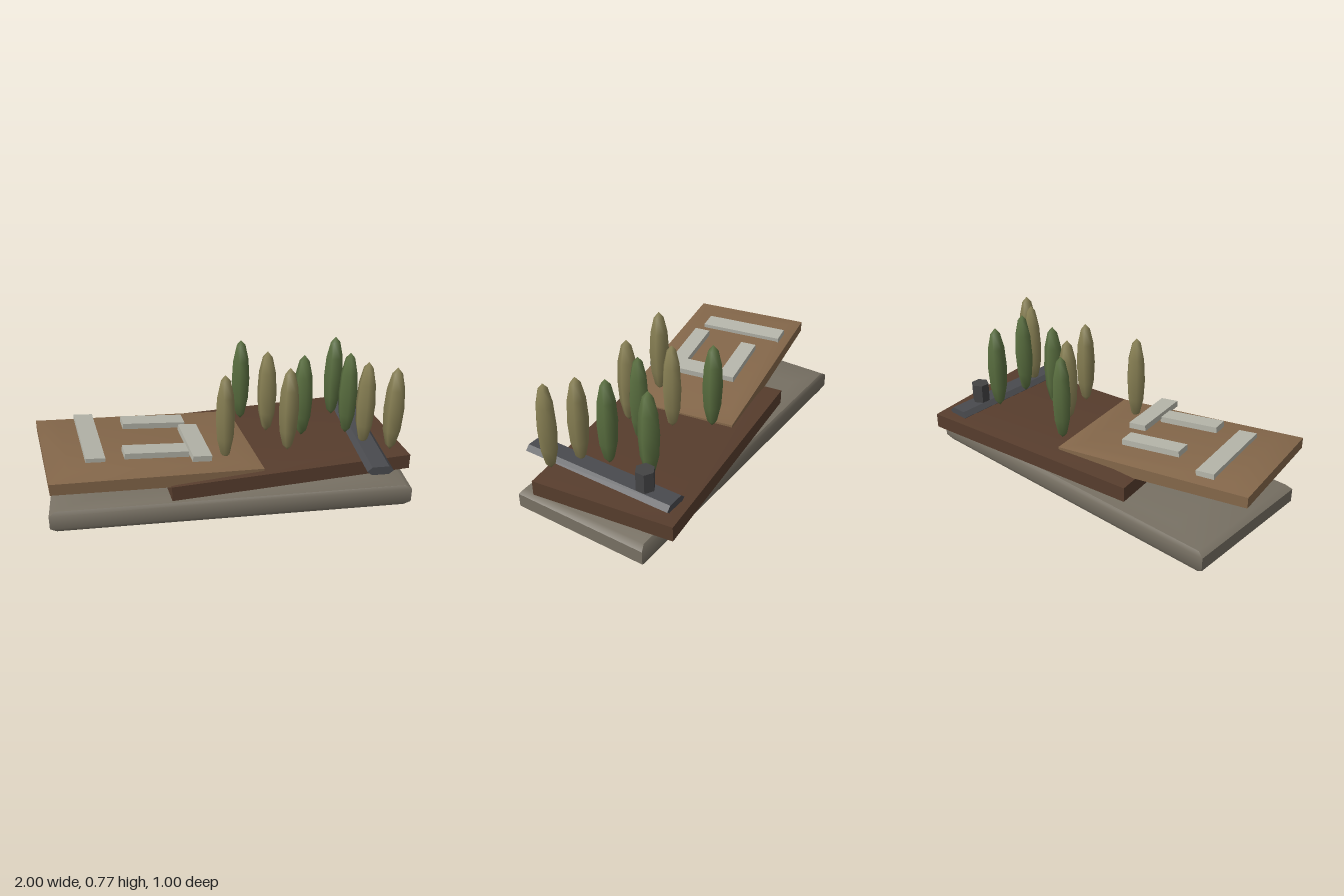
import * as THREE from 'three';
import { toCreasedNormals } from 'three/addons/utils/BufferGeometryUtils.js';

const colour = (name, color) => Object.assign(new THREE.MeshStandardMaterial({ color }), { name });

export function createModel() {
  const model = new THREE.Group();
  model.name = 'terrainSlabs';
  const stone = colour('stone', 0x777063);
  const darkEarth = colour('dark earth', 0x573d2d);
  const lightEarth = colour('light earth', 0x84674a);
  const wall = colour('pale wall', 0xb4b4a9);
  const iron = colour('iron', 0x494a4e);
  const soot = colour('soot', 0x434344);
  const green = colour('green leaves', 0x5a6f40);
  const olive = colour('olive leaves', 0x888054);

  function add(name, geometry, material, x = 0, y = 0, z = 0) {
    const mesh = new THREE.Mesh(geometry, material);
    mesh.name = name;
    mesh.position.set(x, y, z);
    model.add(mesh);
    return mesh;
  }

  // Four-cornered slab lofted through rings of [scale, height, slope along x], bottom to top
  function slab(corners, rings) {
    const cx = corners.reduce((s, c) => s + c[0], 0) / 4;
    const cz = corners.reduce((s, c) => s + c[1], 0) / 4;
    const pos = [], index = [];
    for (const [scale, height, slope = 0] of rings) {
      for (const [px, pz] of corners) {
        const x = cx + (px - cx) * scale, z = cz + (pz - cz) * scale;
        pos.push(x, height + slope * x, z);
      }
    }
    for (let r = 0; r < rings.length - 1; r++) {
      for (let i = 0; i < 4; i++) {
        const a = r * 4 + i, b = r * 4 + (i + 1) % 4;
        index.push(a, b, b + 4, a, b + 4, a + 4);
      }
    }
    const t = (rings.length - 1) * 4;
    index.push(0, 2, 1, 0, 3, 2, t, t + 1, t + 2, t, t + 2, t + 3);
    const geometry = new THREE.BufferGeometry();
    geometry.setAttribute('position', new THREE.Float32BufferAttribute(pos, 3));
    geometry.setIndex(index);
    return toCreasedNormals(geometry, 0.6);
  }

  // Stacked ground slabs; corners run back left, front left, front right, back right
  add('stoneBase', slab(
    [[-0.92, -0.385], [-0.93, 0.395], [0.985, 0.38], [0.985, -0.385]],
    [[0.75, 0.005], [0.965, 0.02], [1, 0.045], [1, 0.12], [0.965, 0.14], [0.75, 0.155]]), stone);
  add('darkSlab', slab(
    [[-0.4, -0.35], [-0.3, 0.42], [1, 0.26], [0.9, -0.5]],
    [[0.8, 0.165], [1, 0.18], [1, 0.262], [0.8, 0.276]]), darkEarth);
  add('tiltedSlab', slab(
    [[-1, -0.16], [-0.9, 0.5], [0.19, 0.33], [0.09, -0.32]],
    [[0.88, 0.202, -0.12], [1, 0.225, -0.1], [1, 0.297, -0.088], [0.8, 0.307, -0.109]]), lightEarth);

  // Low ruined walls: [length x, length z, centre x, y, z]
  const walls = [
    [0.1, 0.48, -0.71, 0.391, 0.085],
    [0.34, 0.09, -0.367, 0.38, 0.245],
    [0.34, 0.09, -0.367, 0.38, -0.075],
    [0.1, 0.345, -0.16, 0.377, 0.175],
  ];
  for (const [w, d, x, y, z] of walls) {
    const mesh = add('ruinedWall', new THREE.BoxGeometry(w, 0.032, d), wall, x, y, z);
    mesh.rotation.set(0, 0.145, -0.115, 'ZYX');
  }

  // Flat iron beam with chamfered long edges
  const profile = new THREE.Shape([
    [-0.07, 0.283], [-0.045, 0.262], [0.045, 0.262], [0.07, 0.283], [0.045, 0.308], [-0.045, 0.308],
  ].map(([x, y]) => new THREE.Vector2(x, y)));
  add('beam', new THREE.ExtrudeGeometry(profile, { depth: 0.87, bevelEnabled: false }), iron, 0.78, 0, -0.435);

  // Six-sided chimney on the beam
  add('chimney', toCreasedNormals(new THREE.CylinderGeometry(0.05, 0.05, 0.12, 6), 0.5), soot, 0.78, 0.355, -0.262);

  // Spindle-shaped trees
  const treeGeometry = new THREE.SphereGeometry(1, 6, 6).scale(0.054, 0.241, 0.054);
  const plant = (spots, material) => spots.forEach(([x, z], i) => {
    add('tree', treeGeometry, material, x, 0.53, z).rotation.y = 0.25 + i * 0.4;
  });
  plant([[0.145, -0.23], [0.45, 0.012], [0.675, -0.212], [0.7, 0.015]], green);
  plant([[0, 0.208], [0.265, -0.06], [0.342, 0.165], [0.762, 0.145], [0.89, 0.23]], olive);

  return model;
}
